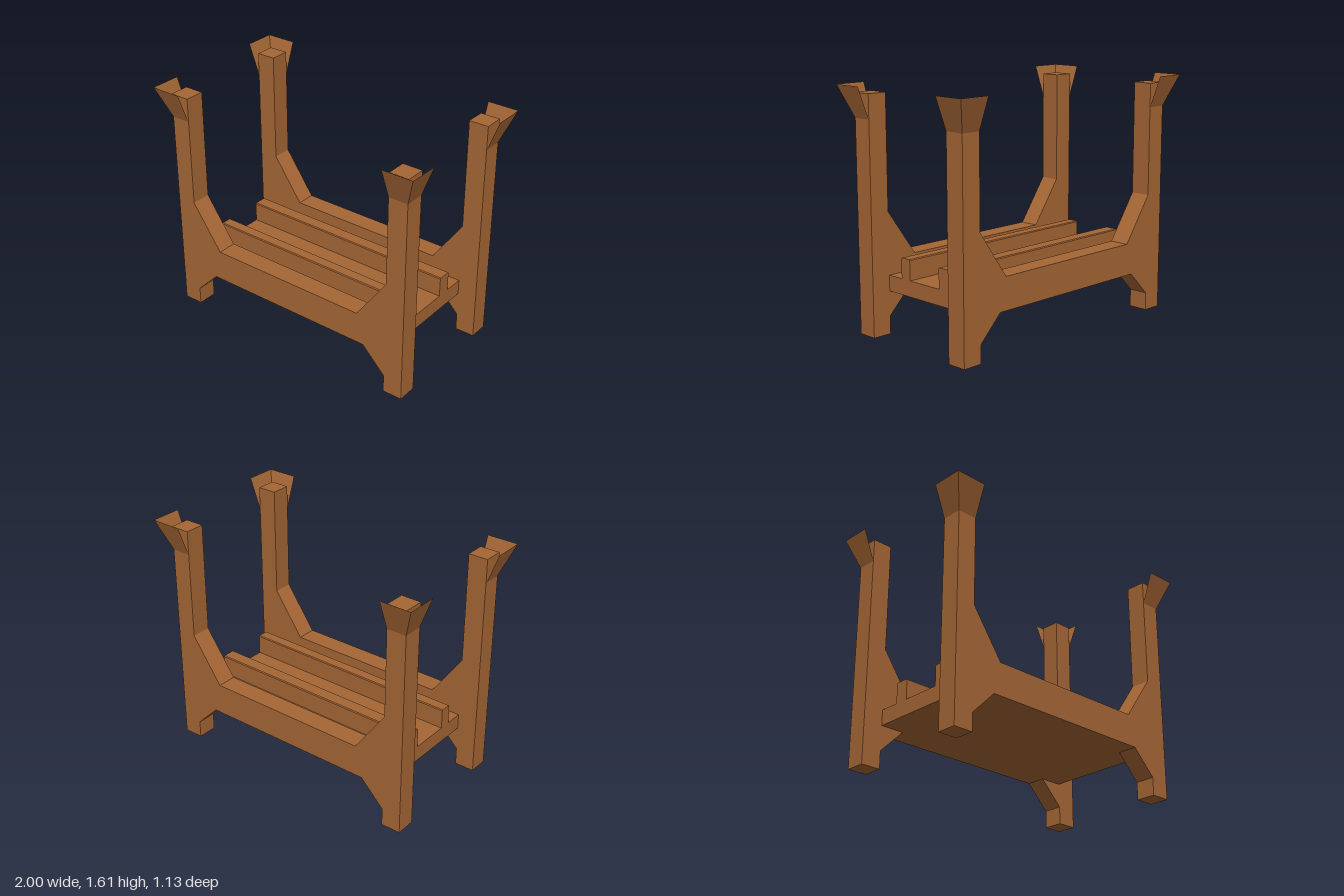
import * as THREE from 'three';

export function createModel() {
  const model = new THREE.Group();
  model.name = 'cradleFrame';
  const wood = new THREE.MeshStandardMaterial({ color: 0xa56635, flatShading: true });
  const thinWood = new THREE.MeshStandardMaterial({ color: 0xa56635, flatShading: true, side: THREE.DoubleSide });

  const add = (name, geometry, material = wood) => {
    const mesh = new THREE.Mesh(geometry, material);
    mesh.name = name;
    model.add(mesh);
    return mesh;
  };
  // box given by its lower and upper limits
  const box = (name, x0, x1, y0, y1, z0, z1) =>
    add(name, new THREE.BoxGeometry(x1 - x0, y1 - y0, z1 - z0))
      .position.set((x0 + x1) / 2, (y0 + y1) / 2, (z0 + z1) / 2);

  const inX = 0.785, outX = 0.92, inZ = 0.352, outZ = 0.487;
  const postTop = 1.56, flareBase = 1.4, flareTop = 1.61, rimX = 1, rimZ = 0.565;

  // two outward-leaning panels that meet in a mitred corner
  const flare = (sx, sz) => {
    const lower = [[inX, outZ], [outX, outZ], [outX, inZ]];
    const upper = [[inX, rimZ], [rimX, rimZ], [rimX, inZ]];
    const at = ([x, z], y) => [x * sx, y, z * sz];
    const points = [];
    for (let i = 0; i < 2; i++) {
      const a = at(lower[i], flareBase), b = at(lower[i + 1], flareBase);
      const c = at(upper[i + 1], flareTop), d = at(upper[i], flareTop);
      // keep the outside as the front after mirroring
      const order = sx * sz > 0 ? [a, b, c, a, c, d] : [a, c, b, a, d, c];
      points.push(...order.flat());
    }
    const geometry = new THREE.BufferGeometry();
    geometry.setAttribute('position', new THREE.Float32BufferAttribute(points, 3));
    geometry.computeVertexNormals();
    return geometry;
  };

  // corner posts with flared heads
  for (const sx of [-1, 1]) {
    for (const sz of [-1, 1]) {
      const cx = sx * (inX + outX) / 2, cz = sz * (inZ + outZ) / 2;
      const w = (outX - inX) / 2, d = (outZ - inZ) / 2;
      box('post', cx - w, cx + w, 0, postTop, cz - d, cz + d);
      add('postFlare', flare(sx, sz), thinWood);
    }
  }

  // side beams with sloping braces above and below
  const profile = [[0.62, 0.285], [inX, 0.12], [inX, 0.805], [0.57, 0.5]];
  const outline = [...profile, ...profile.map(([x, y]) => [-x, y]).reverse()];
  const beamShape = new THREE.Shape(outline.map(([x, y]) => new THREE.Vector2(x, y)));
  for (const z of [inZ, -outZ]) {
    const geometry = new THREE.ExtrudeGeometry(beamShape, { depth: outZ - inZ, bevelEnabled: false });
    add('sideBeam', geometry).position.z = z;
  }

  // floor between the beams
  box('floor', -inX, inX, 0.285, 0.39, -inZ, inZ);

  // long rails on the floor, with slightly chamfered top edges
  for (const [z0, z1] of [[0.15, 0.23], [-0.215, -0.12]]) {
    const c = 0.006, top = 0.527;
    const section = new THREE.Shape([[z0, 0.385], [z1, 0.385], [z1, top - c], [z1 - c, top], [z0 + c, top], [z0, top - c]]
      .map(([z, y]) => new THREE.Vector2(-z, y)).reverse());
    const rail = add('floorRail', new THREE.ExtrudeGeometry(section, { depth: 2 * inX, bevelEnabled: false }));
    rail.rotation.y = Math.PI / 2;
    rail.position.x = -inX;
  }

  return model;
}
